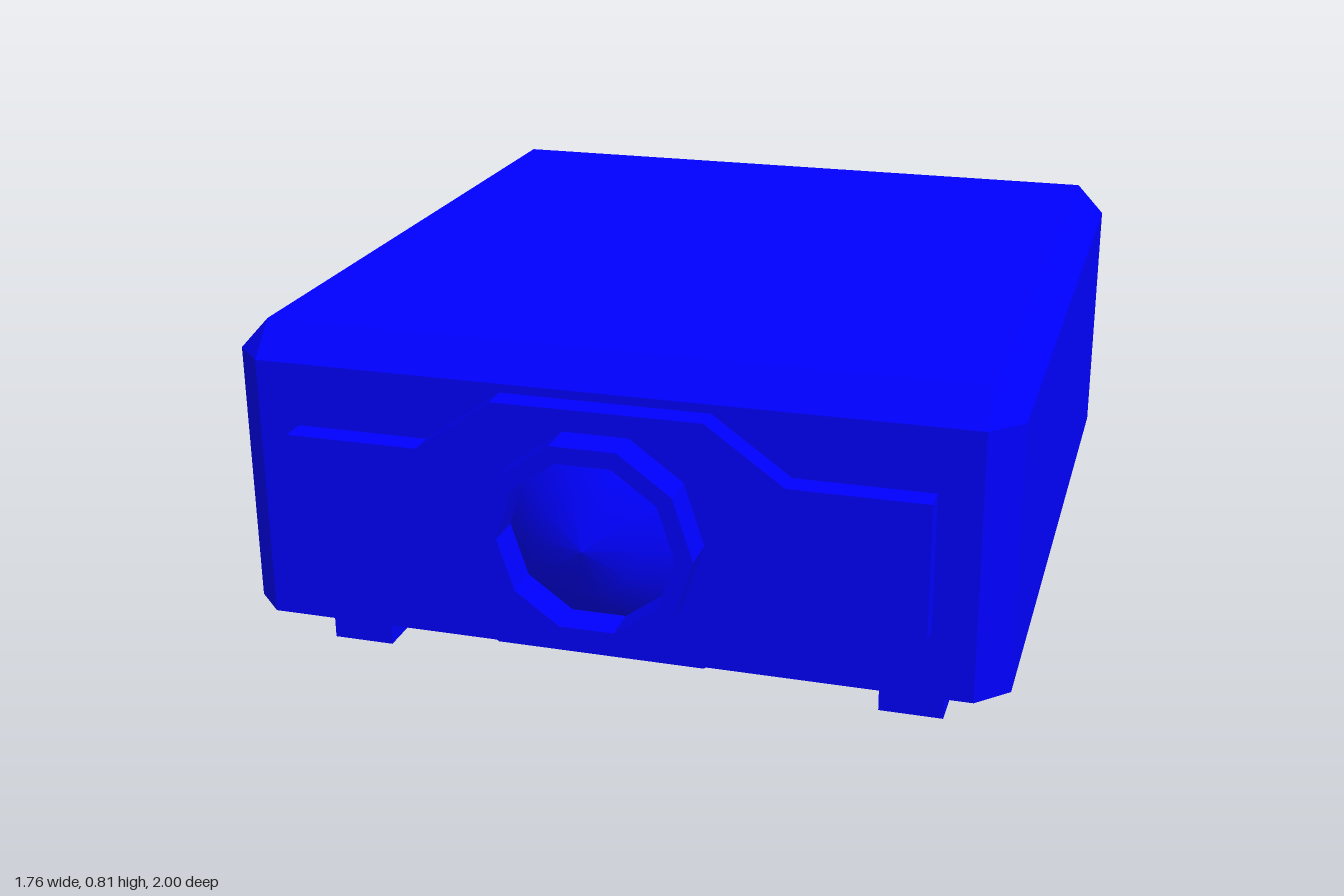
import * as THREE from 'three';

const blue = new THREE.MeshStandardMaterial({ color: 0x0000ff, side: THREE.DoubleSide });

// Main dimensions
const X = 0.88, XI = 0.81;                    // body half width, inside the bevel
const BACK = -1, BACK_I = -0.92, FRONT = 0.84, FRONT_I = 0.77;
const FLOOR = 0.12, LEDGE = 0.2, SHOULDER = 0.735, TOP = 0.81;
const PANEL_Z = 0.9, LENS_Y = 0.44;

function mesh(name, geometry) {
  const m = new THREE.Mesh(geometry, blue);
  m.name = name;
  return m;
}

// Flat-shaded geometry from convex polygons (corners anticlockwise from outside)
function polygons(list) {
  const pos = [];
  for (const p of list)
    for (let i = 1; i < p.length - 1; i++) pos.push(...p[0], ...p[i], ...p[i + 1]);
  const g = new THREE.BufferGeometry();
  g.setAttribute('position', new THREE.Float32BufferAttribute(pos, 3));
  g.computeVertexNormals();
  return g;
}

// Same polygon reflected to the other side
const mirror = (p) => p.map(([x, y, z]) => [-x, y, z]).reverse();

// Wide plate outline with a raised and lowered middle
function panelOutline() {
  const half = [[0.235, 0.15], [0.41, 0.28], [0.715, 0.28], [0.715, 0.59], [0.41, 0.59], [0.235, 0.715]];
  return [...half, ...half.map(([x, y]) => [-x, y]).reverse()];
}
const toVectors = (pts) => pts.map(([x, y]) => new THREE.Vector2(x, y));

// Hollow body skin, open underneath
function buildShell() {
  const half = [
    // side wall, beveled corners, sloped shoulder and corner facets
    [[X, FLOOR, FRONT_I], [X, FLOOR, BACK_I], [X, SHOULDER, BACK_I], [X, SHOULDER, FRONT_I]],
    [[XI, FLOOR, FRONT], [X, FLOOR, FRONT_I], [X, SHOULDER, FRONT_I], [XI, SHOULDER, FRONT]],
    [[X, LEDGE, BACK_I], [XI, LEDGE, BACK], [XI, SHOULDER, BACK], [X, SHOULDER, BACK_I]],
    [[X, SHOULDER, FRONT_I], [X, SHOULDER, BACK_I], [XI, TOP, BACK_I], [XI, TOP, FRONT_I]],
    [[XI, SHOULDER, FRONT], [X, SHOULDER, FRONT_I], [XI, TOP, FRONT_I]],
    [[X, SHOULDER, BACK_I], [XI, SHOULDER, BACK], [XI, TOP, BACK_I]],
    // undercut at the lower back corner: ledge, recessed wall, sloped end
    [[0.56, LEDGE, BACK], [XI, LEDGE, BACK], [X, LEDGE, BACK_I], [0.56, LEDGE, BACK_I]],
    [[X, FLOOR, BACK_I], [0.42, FLOOR, BACK_I], [0.56, LEDGE, BACK_I], [X, LEDGE, BACK_I]],
    [[0.42, FLOOR, BACK_I], [0.42, FLOOR, BACK], [0.56, LEDGE, BACK], [0.56, LEDGE, BACK_I]],
  ];
  const centre = [
    [[-XI, TOP, FRONT_I], [XI, TOP, FRONT_I], [XI, TOP, BACK_I], [-XI, TOP, BACK_I]],
    [[-XI, SHOULDER, FRONT], [XI, SHOULDER, FRONT], [XI, TOP, FRONT_I], [-XI, TOP, FRONT_I]],
    [[XI, SHOULDER, BACK], [-XI, SHOULDER, BACK], [-XI, TOP, BACK_I], [XI, TOP, BACK_I]],
    [[XI, LEDGE, BACK], [-XI, LEDGE, BACK], [-XI, SHOULDER, BACK], [XI, SHOULDER, BACK]],
    [[0.42, FLOOR, BACK], [-0.42, FLOOR, BACK], [-0.56, LEDGE, BACK], [0.56, LEDGE, BACK]],
  ];
  return polygons([...half, ...half.map(mirror), ...centre]);
}

// Front wall, cut out behind the raised panel
function buildFrontWall() {
  const shape = new THREE.Shape(toVectors([[-XI, FLOOR], [XI, FLOOR], [XI, SHOULDER], [-XI, SHOULDER]]));
  shape.holes.push(new THREE.Path(toVectors(panelOutline())));
  return new THREE.ShapeGeometry(shape).translate(0, 0, FRONT);
}

function buildPanel() {
  const pts = panelOutline();
  const rim = pts.map(([x, y], i) => {
    const [u, v] = pts[(i + 1) % pts.length];
    return [[x, y, FRONT], [u, v, FRONT], [u, v, PANEL_Z], [x, y, PANEL_Z]];
  });
  const panel = new THREE.Group();
  panel.name = 'frontPanel';
  panel.add(
    mesh('panelFace', new THREE.ShapeGeometry(new THREE.Shape(toVectors(pts))).translate(0, 0, PANEL_Z)),
    mesh('panelRim', polygons(rim)),
  );
  return panel;
}

// Ten-sided turned part with its axis pointing forward
function turned(points) {
  return new THREE.LatheGeometry(toVectors(points), 10, Math.PI / 2)
    .rotateX(Math.PI / 2).translate(0, LENS_Y, 0);
}

function buildLens() {
  const ring = turned([[0.237, PANEL_Z], [0.237, 0.985], [0.197, 0.985], [0.197, PANEL_Z]]).toNonIndexed();
  ring.computeVertexNormals();
  const lens = new THREE.Group();
  lens.name = 'lens';
  lens.add(
    mesh('lensRing', ring),
    mesh('lensDome', turned([[0.197, PANEL_Z], [0.187, 0.91], [0.116, 0.963], [0, 1]])),
  );
  return lens;
}

export function createModel() {
  const model = new THREE.Group();
  model.name = 'projector';
  model.add(mesh('bodyShell', buildShell()), mesh('frontWall', buildFrontWall()), buildPanel(), buildLens());

  // Four square feet
  for (const [end, z] of [['front', 0.64], ['back', -0.695]])
    for (const [side, x] of [['Left', 0.657], ['Right', -0.657]]) {
      const foot = mesh(`${end}${side}Foot`, new THREE.BoxGeometry(0.145, FLOOR, 0.145));
      foot.position.set(x, FLOOR / 2, z);
      model.add(foot);
    }
  return model;
}
